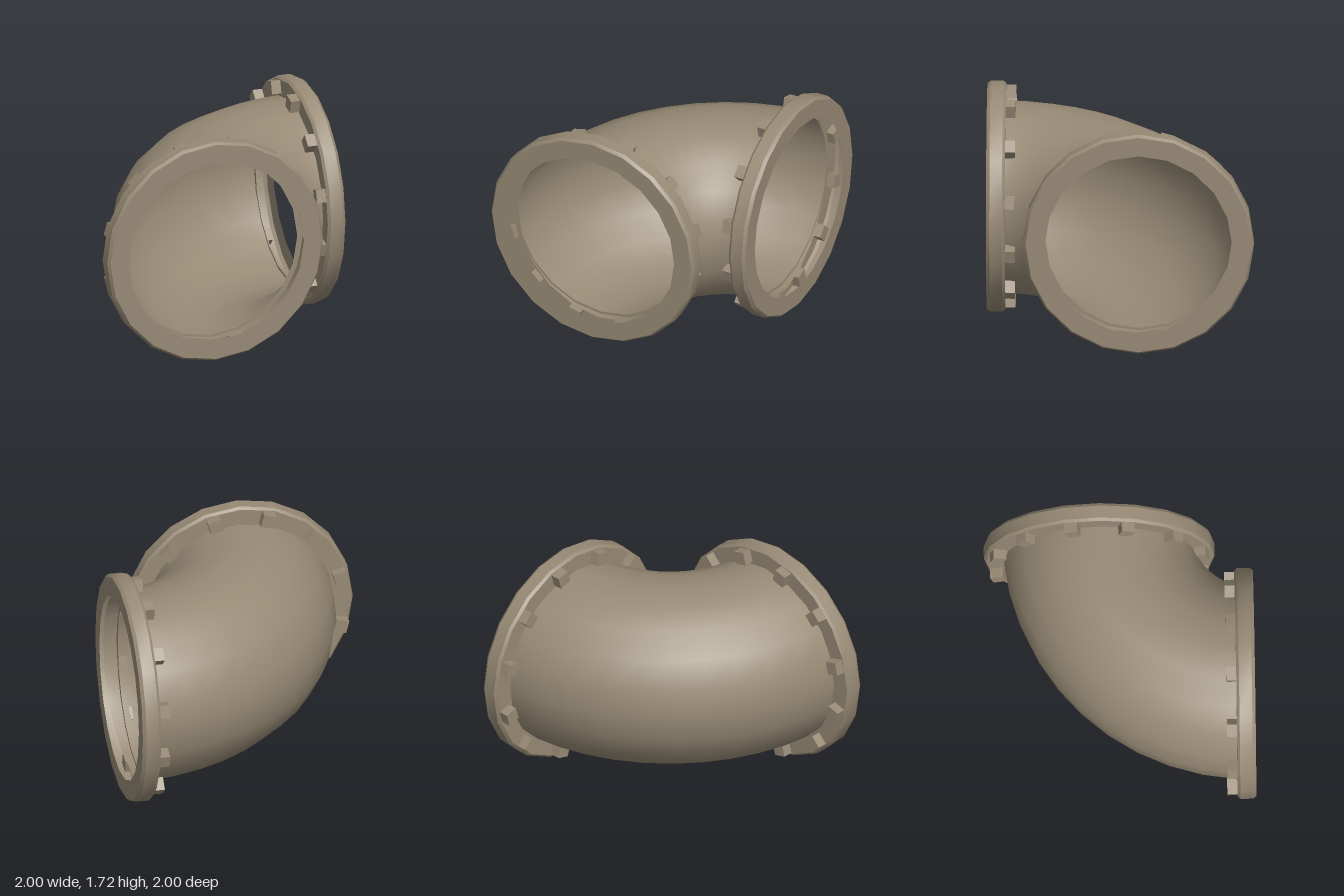
import * as THREE from 'three';
import { toCreasedNormals } from 'three/addons/utils/BufferGeometryUtils.js';

const SIDES = 20, AXIS = 0.14, MID_Y = 0.862;

export function createModel() {
  const model = new THREE.Group();
  model.name = 'pipeElbow';
  const metal = new THREE.MeshStandardMaterial({ color: 0x978a75, side: THREE.DoubleSide });
  metal.name = 'dull bronze';

  // Curved pipe: an arc of a torus lying flat, bending about the corner (1, 1)
  const start = THREE.MathUtils.degToRad(4.5);
  const pipeGeo = new THREE.TorusGeometry(1 + AXIS, 0.717, SIDES, 10, Math.PI / 2 - 2 * start);
  pipeGeo.rotateZ(Math.PI / 2 + start).rotateX(-Math.PI / 2);
  const pipe = new THREE.Mesh(pipeGeo, metal);
  pipe.name = 'bentPipe';
  pipe.position.set(1, MID_Y, 1);
  model.add(pipe);

  // Flange shell with bevelled rim, open on the bore side
  const profile = [[0.697, 0.86], [0.842, 0.86], [0.86, 0.88], [0.86, 0.975], [0.842, 1], [0.697, 1]]
    .map(([r, h]) => new THREE.Vector2(r, h));
  const ringGeo = toCreasedNormals(new THREE.LatheGeometry(profile, SIDES).rotateX(Math.PI / 2), 0.4);
  const boltGeo = new THREE.BoxGeometry(0.1, 0.1, 0.135);

  function addFlange(name, x, z, turn) {
    const flange = new THREE.Group();
    flange.name = name;
    flange.position.set(x, MID_Y, z);
    flange.rotation.y = turn;
    const ring = new THREE.Mesh(ringGeo, metal);
    ring.name = 'flangeRing';
    flange.add(ring);
    // Twelve square bolts behind the rim
    for (let i = 0; i < 12; i++) {
      const a = (i + 0.5) * Math.PI / 6;
      const bolt = new THREE.Mesh(boltGeo, metal);
      bolt.name = 'bolt';
      bolt.position.set(0.78 * Math.cos(a), 0.78 * Math.sin(a), 0.853);
      bolt.rotation.z = a;
      flange.add(bolt);
    }
    model.add(flange);
  }
  addFlange('frontFlange', -AXIS, 0, 0);
  addFlange('leftFlange', 0, -AXIS, Math.PI / 2);

  return model;
}
